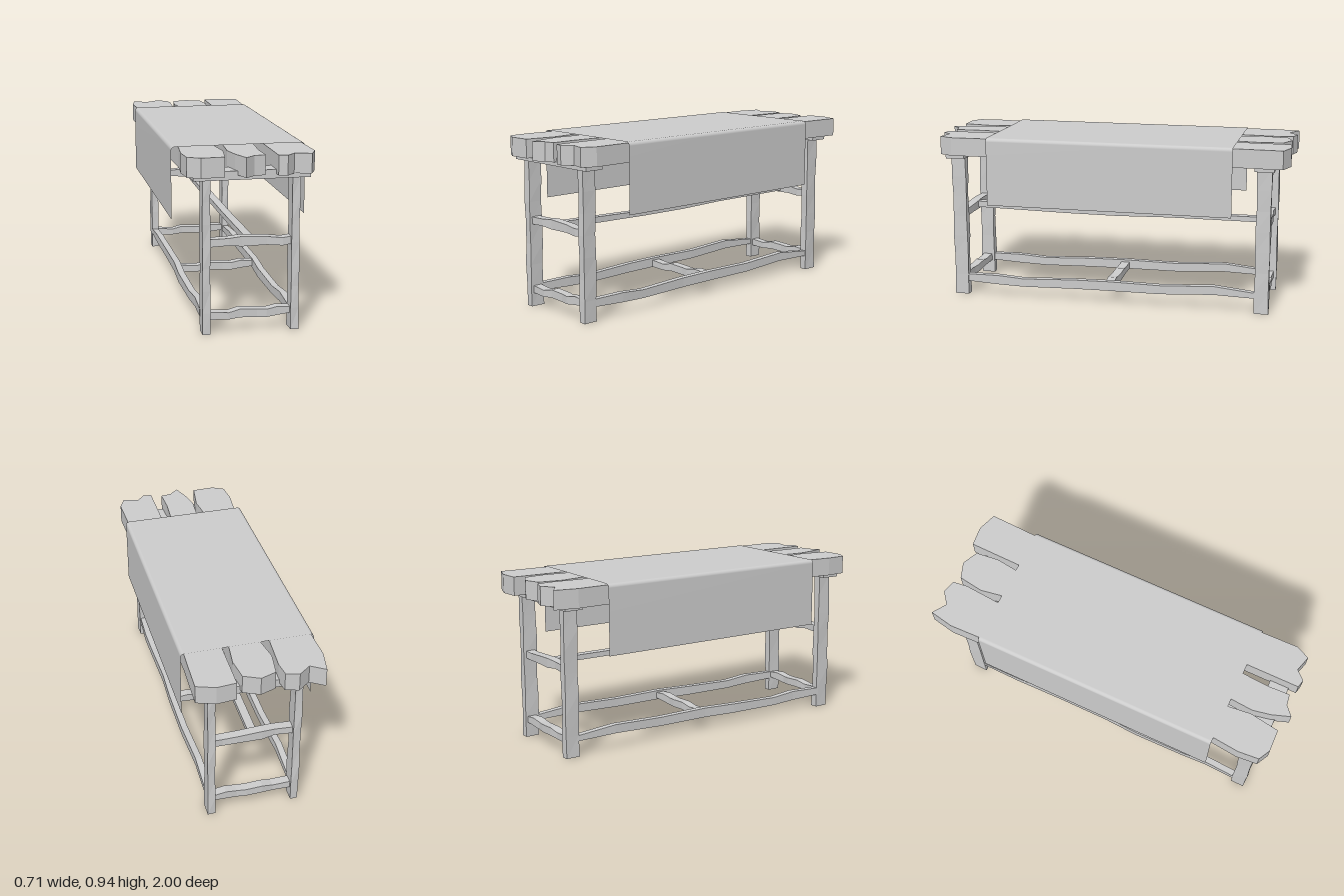
import * as THREE from 'three';

const wood = new THREE.MeshStandardMaterial({ color: 0xcccccc, flatShading: true });
const linen = new THREE.MeshStandardMaterial({ color: 0xcccccc, side: THREE.DoubleSide });

function add(parent, name, geometry, material = wood) {
  const mesh = new THREE.Mesh(geometry, material);
  mesh.name = name;
  parent.add(mesh);
  return mesh;
}

// Plank cut from a top outline of [x, z] points
function plank(outline) {
  const shape = new THREE.Shape(outline.map(([x, z]) => new THREE.Vector2(x, -z)));
  const g = new THREE.ExtrudeGeometry(shape, { depth: 0.102, bevelEnabled: false });
  return g.rotateX(-Math.PI / 2).translate(0, 0.828, 0);
}

// Rough rail: each profile row is [position, bottom, top]; it runs along x or z
function rail(profile, axis, offset, width, sway = 0) {
  const n = profile.length - 1;
  const g = new THREE.BoxGeometry(1, 1, 1, n, 1, 1);
  const p = g.attributes.position;
  for (let i = 0; i < p.count; i++) {
    const k = Math.round((p.getX(i) + 0.5) * n);
    const [t, bottom, top] = profile[k];
    const y = p.getY(i) > 0 ? top : bottom;
    const side = p.getZ(i) * width + sway * Math.sin(k * 1.9);
    if (axis === 'x') p.setXYZ(i, t, y, offset + side);
    else p.setXYZ(i, offset - side, y, t);
  }
  return g.toNonIndexed();
}

// Hewn leg: a box whose corners wander slightly with height
function leg(x, z, phase) {
  const g = new THREE.BoxGeometry(0.044, 0.81, 0.084, 1, 7, 1);
  const p = g.attributes.position;
  for (let i = 0; i < p.count; i++) {
    const px = p.getX(i), py = p.getY(i), pz = p.getZ(i);
    const corner = (px > 0 ? 1 : 0) + (pz > 0 ? 2.3 : 0) + phase;
    const chip = 0.0025 * (1 + Math.sin(py * 17 + corner * 2));
    p.setXYZ(i, px - Math.sign(px) * chip * 0.6, py, pz - Math.sign(pz) * chip);
  }
  return g.toNonIndexed().translate(x, 0.405, z);
}

export function createModel() {
  const table = new THREE.Group();
  table.name = 'rusticTable';

  // Three top planks with ragged ends
  const planks = {
    rightPlank: [
      [-0.34, -0.7], [-0.345, -0.87], [-0.32, -1], [-0.245, -0.95], [-0.18, -1], [-0.11, -0.98],
      [-0.1, -0.9], [-0.115, -0.7], [-0.105, -0.3], [-0.12, 0.2], [-0.125, 0.67], [-0.11, 0.8],
      [-0.135, 0.965], [-0.255, 0.97], [-0.32, 0.935], [-0.33, 0.82], [-0.315, 0.67], [-0.335, 0.1]],
    middlePlank: [
      [-0.07, -0.7], [-0.09, -0.82], [-0.07, -0.955], [0.015, -0.985], [0.1, -0.945], [0.115, -0.82],
      [0.1, -0.7], [0.09, -0.2], [0.1, 0.25], [0.08, 0.67], [0.07, 0.82], [0.075, 0.945],
      [0.015, 0.955], [-0.035, 1], [-0.07, 0.9], [-0.09, 0.8], [-0.08, 0.67], [-0.075, 0]],
    leftPlank: [
      [0.135, -0.7], [0.14, -0.99], [0.245, -1], [0.345, -0.965], [0.34, -0.82], [0.335, -0.7],
      [0.34, 0], [0.34, 0.67], [0.345, 0.88], [0.31, 0.955], [0.225, 0.93], [0.18, 0.98],
      [0.135, 0.97], [0.135, 0.67], [0.13, 0]],
  };
  for (const [name, outline] of Object.entries(planks)) add(table, name, plank(outline));

  // Battens carrying the planks
  for (const [name, z] of [['frontBatten', 0.872], ['middleBatten', 0], ['backBatten', -0.865]]) {
    add(table, name, new THREE.BoxGeometry(0.6, 0.045, 0.107)).position.set(0.014, 0.8275, z);
  }

  // Legs, side rails and end rails
  const xs = { right: -0.217, left: 0.245 };
  const zs = { front: 0.869, back: -0.863 };
  const sideProfile = [
    [-0.84, 0.085, 0.115], [-0.6, 0.09, 0.138], [-0.3, 0.076, 0.125], [0, 0.075, 0.128],
    [0.2, 0.07, 0.122], [0.5, 0.064, 0.11], [0.65, 0.07, 0.122], [0.84, 0.077, 0.118]];
  const lowProfile = [
    [-0.2, 0.075, 0.115], [-0.1, 0.072, 0.108], [-0.04, 0.077, 0.121], [0.05, 0.073, 0.116],
    [0.1, 0.072, 0.114], [0.16, 0.079, 0.124], [0.23, 0.085, 0.118]];
  const highProfile = [
    [-0.2, 0.457, 0.497], [-0.1, 0.462, 0.5], [-0.03, 0.453, 0.505], [0.1, 0.455, 0.498],
    [0.18, 0.449, 0.49], [0.23, 0.455, 0.495]];
  for (const [sx, x] of Object.entries(xs)) {
    for (const [sz, z] of Object.entries(zs)) add(table, `${sz}${sx}Leg`, leg(x, z, x * 9 + z * 4));
    add(table, `${sx}SideRail`, rail(sideProfile, 'z', x, 0.036, 0.006));
  }
  for (const [sz, z] of Object.entries(zs)) {
    add(table, `${sz}LowerRail`, rail(lowProfile, 'x', z, 0.05, 0.005));
    add(table, `${sz}UpperRail`, rail(highProfile, 'x', z, 0.05, 0.005));
  }

  // Cross rail between the side rails, and a long stretcher between the upper end rails
  add(table, 'lowerCrossRail', rail(lowProfile, 'x', 0, 0.05, 0.004));
  add(table, 'centreStretcher', rail([
    [-0.85, 0.463, 0.492], [-0.3, 0.462, 0.49], [0, 0.456, 0.486], [0.3, 0.457, 0.486],
    [0.85, 0.465, 0.5]], 'z', 0.014, 0.045, 0.004));

  // Runner cloth: a thin sheet with rounded folds, hanging down both sides
  const section = [[0.353, 0.555], [0.353, 0.735], [0.353, 0.915]];
  for (let i = 1; i <= 6; i++) {
    const a = (i / 6) * Math.PI / 2;
    section.push([0.333 + 0.02 * Math.cos(a), 0.915 + 0.02 * Math.sin(a)]);
  }
  const across = [...section, ...section.map(([x, y]) => [-x - 0.001, y]).reverse()];
  const cloth = new THREE.PlaneGeometry(1, 1, across.length - 1, 1);
  const cp = cloth.attributes.position;
  for (let i = 0; i < cp.count; i++) {
    const [x, y] = across[i % across.length];
    cp.setXYZ(i, x, y, i < across.length ? -0.699 : 0.674);
  }
  // Row order runs from +x to -x, so flip the faces outward
  cloth.setIndex([...cloth.index.array].reverse());
  cloth.computeVertexNormals();
  add(table, 'tableRunner', cloth, linen);

  return table;
}
